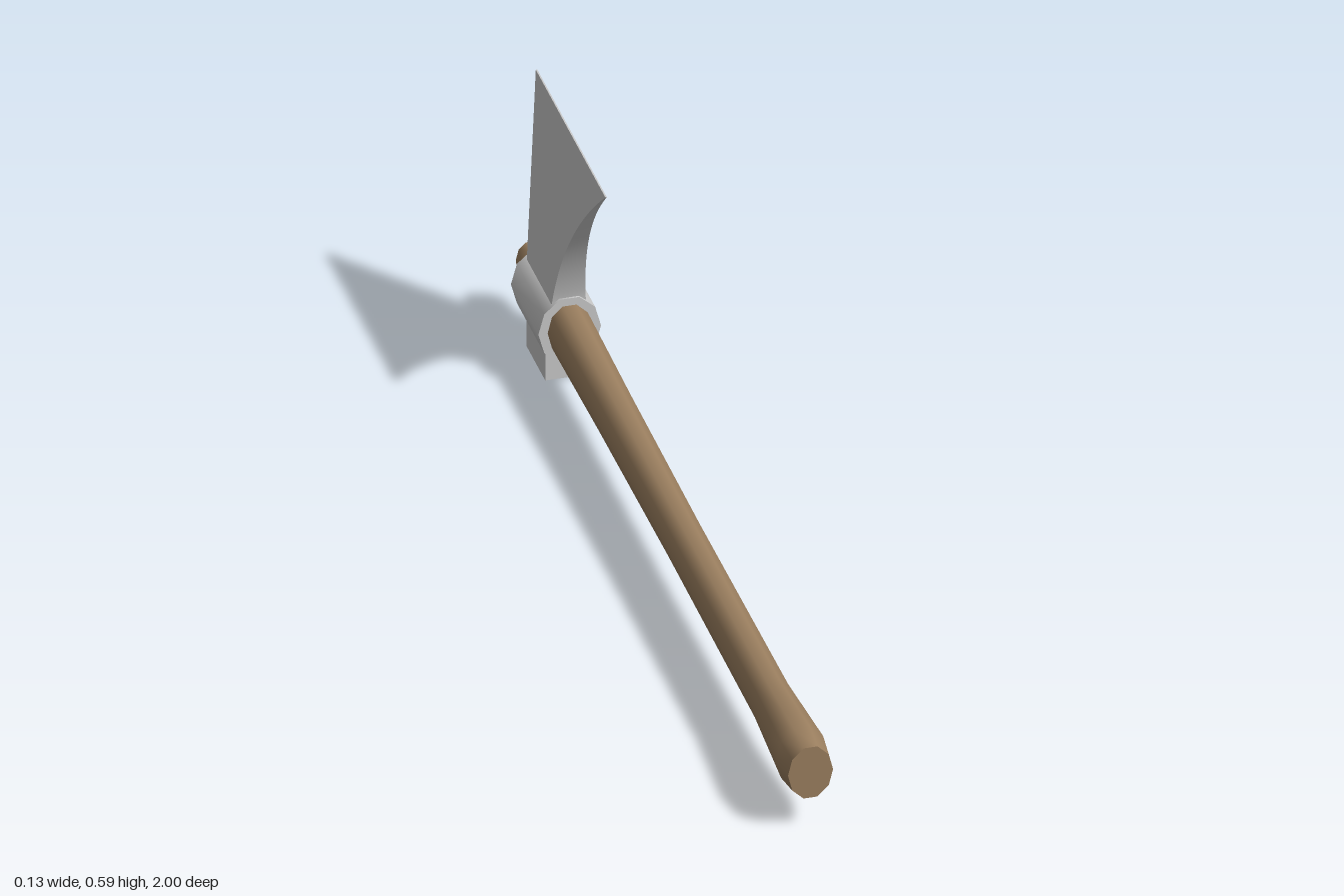
import * as THREE from 'three';
import { toCreasedNormals } from 'three/addons/utils/BufferGeometryUtils.js';

const AXIS_Y = 0.13; // height of the handle's axis
const steel = new THREE.MeshStandardMaterial({ color: 0xcccccc });
const wood = new THREE.MeshStandardMaterial({ color: 0x9c8060 });

function part(name, geometry, material) {
  const mesh = new THREE.Mesh(geometry, material);
  mesh.name = name;
  return mesh;
}

// Ten-sided oval solid along z from [half width, z] stations (z ascending).
function ovalSolid(stations, heightRatio) {
  const first = stations[0][1];
  const last = stations[stations.length - 1][1];
  const points = [[0, first], ...stations, [0, last]].map(([r, z]) => new THREE.Vector2(r, z));
  const geometry = new THREE.LatheGeometry(points, 10, Math.PI / 2);
  geometry.rotateX(Math.PI / 2);
  geometry.scale(1, heightRatio, 1);
  geometry.translate(0, AXIS_Y, 0);
  return toCreasedNormals(geometry, 0.8);
}

// Side outline of the blade, extruded and thinned to a wedge towards the cutting edge.
function bladeGeometry() {
  const top = 0.59;
  const outline = new THREE.Shape(); // x of the outline is -z of the model
  outline.moveTo(0.9, 0.16);
  outline.lineTo(0.957, top);
  outline.lineTo(0.46, top);
  outline.quadraticCurveTo(0.695, 0.385, 0.727, 0.19);
  outline.lineTo(0.727, 0.16);
  outline.closePath();

  const geometry = new THREE.ExtrudeGeometry(outline, { depth: 1, bevelEnabled: false, curveSegments: 14 });
  geometry.translate(0, 0, -0.5);
  geometry.rotateY(Math.PI / 2);
  const p = geometry.attributes.position;
  for (let i = 0; i < p.count; i++) {
    const width = 0.003 + 0.167 * (top - p.getY(i));
    p.setX(i, p.getX(i) * width);
  }
  return toCreasedNormals(geometry, 0.5);
}

export function createModel() {
  const axe = new THREE.Group();
  axe.name = 'axe';

  // Handle: chamfered tip, slim shaft, swollen grip end
  axe.add(part('handle', ovalSolid([
    [0.03, -1], [0.045, -0.93], [0.045, -0.7], [0.042, -0.4], [0.04, 0.1],
    [0.042, 0.72], [0.049, 0.86], [0.053, 0.94], [0.046, 1],
  ], 1.32), wood));

  // Head: collar around the handle, blade above, hammer block below
  const head = new THREE.Group();
  head.name = 'head';
  head.add(part('collar', ovalSolid([[0.064, -0.916], [0.064, -0.72]], 1.2), steel));
  head.add(part('blade', bladeGeometry(), steel));

  const poll = part('poll', new THREE.BoxGeometry(0.08, 0.1, 0.135), steel);
  poll.position.set(0, 0.05, -0.822);
  head.add(poll);

  axe.add(head);
  return axe;
}
